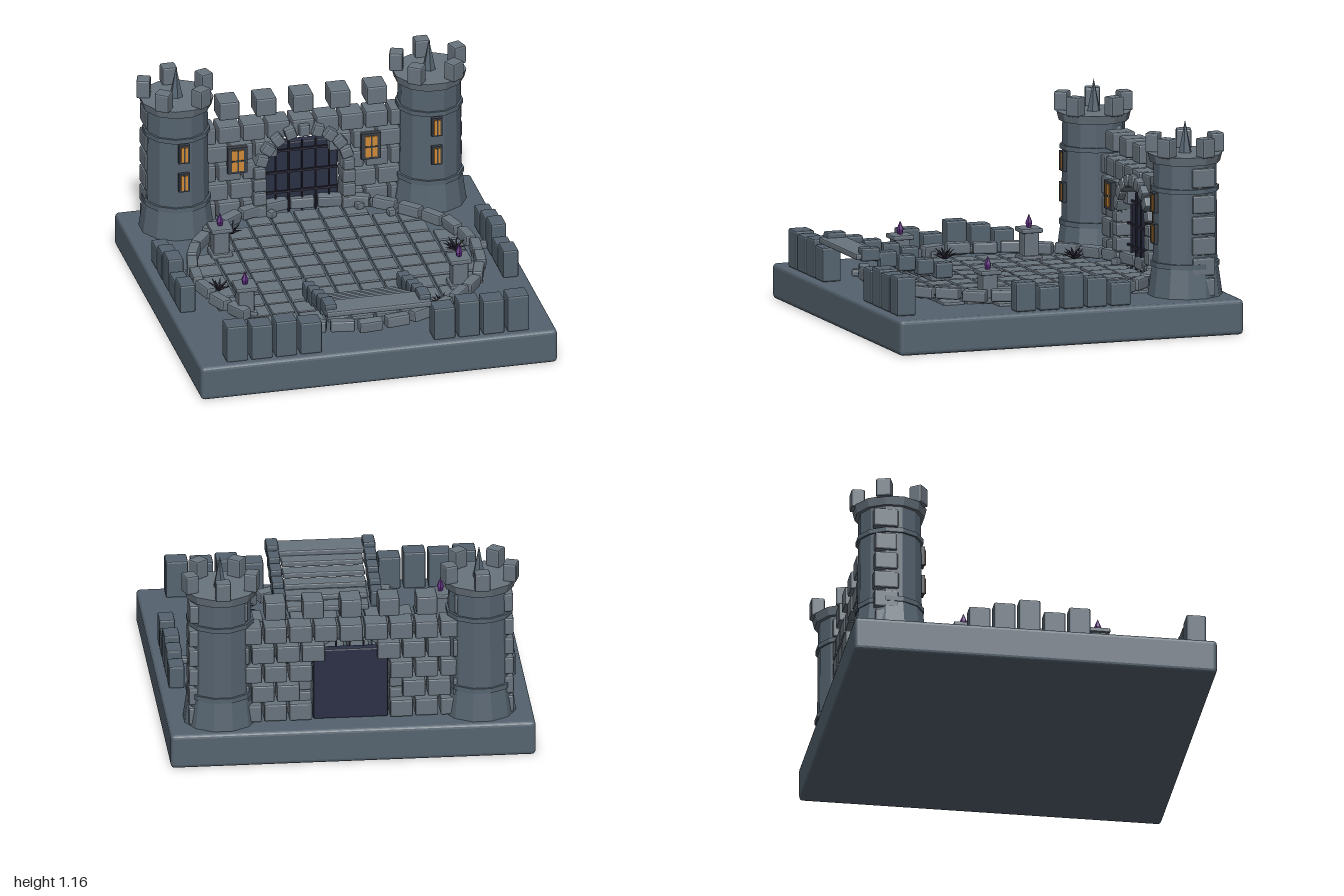
import * as THREE from 'three';
import { RoundedBoxGeometry } from 'three/addons/geometries/RoundedBoxGeometry.js';

const mat = (color) => new THREE.MeshStandardMaterial({ color, flatShading: true });
const SLATE = mat(0x55636f), STONE = mat(0x69747e), DARK = mat(0x2b3045);
const GLOW = mat(0xd08a35), PURPLE = mat(0x5c2a7c), THORN = mat(0x2c2a3a), FRAME = mat(0x3a4048);
const GROUND = 0.195;

let seed = 7;
const rand = () => (seed = (seed * 16807) % 2147483647) / 2147483647;
const jitter = (a) => (rand() - 0.5) * 2 * a;

function add(parent, name, geo, material, x = 0, y = 0, z = 0, ry = 0) {
  const m = new THREE.Mesh(geo, material);
  m.name = name;
  m.position.set(x, y, z);
  m.rotation.y = ry;
  parent.add(m);
  return m;
}
// Bevelled stone block, placed by its centre
function block(parent, name, w, h, d, x, y, z, material = STONE, ry = 0) {
  const r = Math.min(0.01, Math.min(w, h, d) * 0.25);
  return add(parent, name, new RoundedBoxGeometry(w, h, d, 1, r), material, x, y, z, ry);
}
const box = (p, name, w, h, d, x, y, z, m) => add(p, name, new THREE.BoxGeometry(w, h, d), m, x, y, z);
function group(parent, name, x = 0, y = 0, z = 0) {
  const g = new THREE.Group();
  g.name = name;
  g.position.set(x, y, z);
  parent.add(g);
  return g;
}
// Block standing on the ground up to a given height
const standing = (p, name, w, top, d, x, z) =>
  block(p, name, w, top - GROUND, d, x, (top + GROUND) / 2, z, SLATE);

// Glowing window facing +z
function glowWindow(parent, w, h, x, y, z, cross) {
  const g = group(parent, 'window', x, y, z);
  box(g, 'windowFrame', w, h, 0.03, 0, 0, 0, FRAME);
  box(g, 'windowPane', w * 0.6, h * 0.8, 0.01, 0, 0, 0.016, GLOW);
  box(g, 'windowMullion', 0.008, h * 0.8, 0.012, 0, 0, 0.019, FRAME);
  if (cross) box(g, 'windowCrossbar', w * 0.6, 0.008, 0.012, 0, 0, 0.019, FRAME);
}

function tower(parent, x) {
  const g = group(parent, 'tower', x, 0, -0.765);
  // [bottom radius, top radius, bottom y, top y, material]
  [['towerFoot', 0.205, 0.182, GROUND, 0.36, SLATE], ['towerLowerRing', 0.19, 0.19, 0.355, 0.383, SLATE],
    ['towerBody', 0.177, 0.172, 0.38, 0.935, SLATE], ['towerUpperRing', 0.186, 0.186, 0.772, 0.798, SLATE],
    ['towerCap', 0.192, 0.204, 0.93, 0.978, STONE]].forEach(([name, rb, rt, y0, y1, m]) =>
    add(g, name, new THREE.CylinderGeometry(rt, rb, y1 - y0, 12), m, 0, (y0 + y1) / 2, 0, Math.PI / 12));
  for (let i = 0; i < 5; i++) {
    const a = Math.PI + (i * Math.PI * 2) / 5;
    block(g, 'towerMerlon', 0.084, 0.108, 0.075, Math.sin(a) * 0.178, 1.026, Math.cos(a) * 0.178, STONE, a);
  }
  add(g, 'towerSpike', new THREE.ConeGeometry(0.038, 0.18, 6), SLATE, 0, 1.066, 0);
  for (const y of [0.538, 0.71]) glowWindow(g, 0.06, 0.11, 0, y, 0.175, false);
}

function wall(parent) {
  const g = group(parent, 'backWall');
  const pitch = 0.138, end = 0.897, z = -0.81;
  for (let row = 0; row < 5; row++) {
    const y = 0.253 + row * 0.115;
    const cut = row < 3 ? 0.25 : row === 3 ? 0.2 : -1;
    // Odd rows are shifted by half a block and finish with half blocks
    for (let x0 = -end - (row % 2) * pitch / 2; x0 < end - 0.01; x0 += pitch) {
      const l = Math.max(x0, -end) + 0.006, r = Math.min(x0 + pitch, end) - 0.006;
      const x = (l + r) / 2;
      if (Math.abs(x) < cut) continue;
      block(g, 'wallBlock', r - l, 0.101, 0.13 + jitter(0.01), x, y, z);
    }
  }
  for (let i = -4; i <= 4; i++) block(g, 'wallMerlon', 0.115, 0.108, 0.135, i * 0.2075, 0.858, z);
  for (const s of [-1, 1]) glowWindow(g, 0.11, 0.155, s * 0.375, 0.565, -0.735, true);

  // Gate with arch, jambs and bars
  const gate = group(g, 'gate');
  block(gate, 'gatePanel', 0.41, 0.415, 0.05, 0, 0.402, -0.82, DARK);
  for (let i = 0; i < 11; i++) {
    const a = (i * Math.PI) / 10;
    block(gate, 'archStone', 0.068, 0.062, 0.12, Math.cos(a) * 0.25, 0.47 + Math.sin(a) * 0.235, -0.77)
      .rotation.z = a;
  }
  for (const s of [-1, 1]) for (let i = 0; i < 3; i++)
    block(gate, 'jambStone', 0.075, 0.078, 0.12, s * 0.25, 0.235 + i * 0.083, -0.77);
  for (let i = -2; i <= 2; i++)
    add(gate, 'gateBar', new THREE.CylinderGeometry(0.006, 0.006, 0.43, 6), THORN, i * 0.075, 0.41, -0.775);
  for (const y of [0.32, 0.44, 0.57]) box(gate, 'gateCrossbar', 0.4, 0.012, 0.012, 0, y, -0.775, THORN);
}

function floor(parent) {
  const g = group(parent, 'floor');
  const pitch = 0.1365;
  for (let i = -5; i <= 5; i++) for (let j = -5; j <= 4; j++) {
    if (Math.hypot(i, j) * pitch > 0.775) continue;
    block(g, 'floorTile', 0.122 + jitter(0.003), 0.025, 0.122 + jitter(0.003),
      i * pitch + 0.005, 0.2 + jitter(0.003), j * pitch - 0.005, STONE, jitter(0.02));
  }
  // Ring of loose kerb stones
  for (let i = 0; i < 32; i++) {
    if (i === 11 || i === 12) continue;
    const a = (i * Math.PI) / 16;
    const k = block(g, 'kerbStone', 0.06, 0.065, 0.135, Math.cos(a) * 0.785, 0.247 + jitter(0.008),
      Math.sin(a) * 0.785, STONE, -a + jitter(0.12));
    k.rotation.z = jitter(0.12);
  }
  // Scattered rubble
  [[-0.47, -0.59], [-0.56, -0.55], [-0.19, -0.7], [0.3, -0.69], [0.45, -0.57], [0.53, -0.59], [-0.84, -0.1],
    [0.84, -0.06], [-0.36, 0.75], [0.37, -0.71], [0.42, 0.66], [-0.75, 0.16]].forEach(([x, z]) =>
    block(g, 'rubble', 0.045, 0.04, 0.045, x, 0.23, z, STONE, rand() * 3));
}

function stairs(parent) {
  const g = group(parent, 'stairs');
  block(g, 'landing', 0.59, 0.035, 0.15, 0, 0.435, 0.92);
  for (let i = 0; i < 5; i++) block(g, 'step', 0.45, 0.035, 0.086, 0, 0.405 - i * 0.032, 0.81 - i * 0.08);
  for (const s of [-1, 1]) {
    block(g, 'railPost', 0.068, 0.075, 0.11, s * 0.265, 0.445, 0.91, SLATE);
    for (let i = 0; i < 4; i++)
      block(g, 'railBlock', 0.066, 0.088, 0.1, s * 0.265, 0.412 - i * 0.027, 0.805 - i * 0.108, SLATE);
  }
  box(g, 'stepCrack', 0.09, 0.004, 0.008, 0, 0.36, 0.7, THORN);
}

function lowWalls(parent) {
  const g = group(parent, 'lowWalls');
  const frontTops = [0.385, 0.41, 0.4, 0.41], sideTops = [0.325, 0.36, 0.388, 0.325, 0.36];
  for (const s of [-1, 1]) {
    frontTops.forEach((t, i) => standing(g, 'frontWallBlock', 0.122, t, 0.11, s * (0.375 + i * 0.138), 0.908));
    sideTops.forEach((t, i) => standing(g, 'sideWallBlock', 0.087, t, 0.12, s * 0.907, -0.303 + i * 0.138));
  }
}

function crystalPedestal(parent, x, z) {
  const g = group(parent, 'crystalPedestal', x, 0, z);
  block(g, 'pedestalFoot', 0.12, 0.03, 0.12, 0, 0.215, 0);
  block(g, 'pedestalColumn', 0.09, 0.15, 0.09, 0, 0.29, 0);
  block(g, 'pedestalCap', 0.122, 0.026, 0.122, 0, 0.368, 0);
  const pts = [[0, 0], [0.013, 0], [0.02, 0.03], [0, 0.078]].map(([r, y]) => new THREE.Vector2(r, y));
  add(g, 'crystal', new THREE.LatheGeometry(pts, 6), PURPLE, 0, 0.378, 0);
}

function thornBush(parent, x, z) {
  const g = group(parent, 'thornBush', x, 0.22, z);
  for (let i = 0; i < 12; i++) {
    const a = (i * Math.PI) / 6, tilt = i % 2 ? 1.25 : 0.8, len = 0.075;
    const dir = new THREE.Vector3(Math.cos(a) * Math.sin(tilt), Math.cos(tilt), Math.sin(a) * Math.sin(tilt));
    const c = add(g, 'thorn', new THREE.ConeGeometry(0.012, len, 5), THORN);
    c.position.copy(dir).multiplyScalar(len / 2);
    c.quaternion.setFromUnitVectors(new THREE.Vector3(0, 1, 0), dir);
  }
}

export function createModel() {
  const root = new THREE.Group();
  root.name = 'castleCourtyard';
  add(root, 'base', new RoundedBoxGeometry(2, GROUND, 2, 2, 0.022), SLATE, 0, GROUND / 2, 0);
  wall(root);
  for (const s of [-1, 1]) tower(root, s * 0.71);
  floor(root);
  stairs(root);
  lowWalls(root);
  [[-0.57, -0.335], [-0.61, 0.4], [0.605, 0.345]].forEach(([x, z]) => crystalPedestal(root, x, z));
  [[-0.455, -0.555], [-0.69, 0.11], [0.685, -0.075], [0.45, 0.585]].forEach(([x, z]) => thornBush(root, x, z));
  return root;
}
